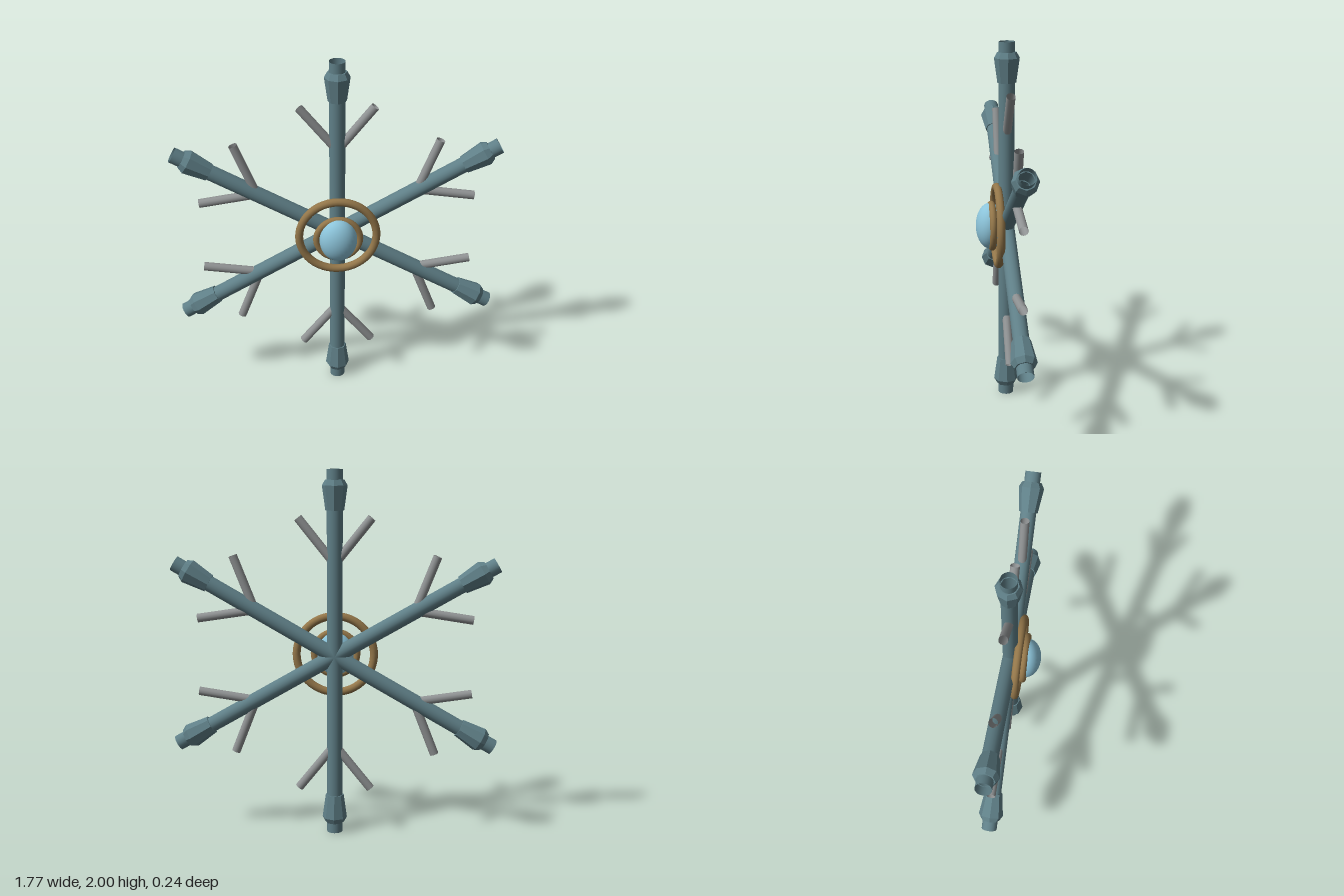
import * as THREE from 'three';

const mat = (name, color, side = THREE.FrontSide) => {
  const m = new THREE.MeshStandardMaterial({ color, side });
  m.name = name;
  return m;
};

export function createModel() {
  const teal = mat('teal', 0x5f7f87, THREE.DoubleSide);
  const grey = mat('grey', 0x909394, THREE.DoubleSide);
  const bronze = mat('bronze', 0x94774a);
  const ice = mat('iceBlue', 0x8cc4da);

  const model = new THREE.Group();
  model.name = 'snowflake';

  const add = (parent, name, geometry, material) => {
    const mesh = new THREE.Mesh(geometry, material);
    mesh.name = name;
    parent.add(mesh);
    return mesh;
  };

  // Open tubes that start at the origin and run along +y
  const tube = (radius, length, sides) =>
    new THREE.CylinderGeometry(radius, radius, length, sides, 1, true).translate(0, length / 2, 0);
  const armGeo = tube(0.0425, 1, 20);
  const twigGeo = tube(0.024, 0.315, 12);

  // Faceted knob, widest towards the tip
  const knobProfile = [[0.04, 0.785], [0.05, 0.785], [0.068, 0.915], [0.051, 0.945], [0.04, 0.945]]
    .map(([r, y]) => new THREE.Vector2(r, y));
  const knobGeo = new THREE.LatheGeometry(knobProfile, 8).toNonIndexed();
  knobGeo.computeVertexNormals();

  // Six arms, each with a knob and a pair of twigs
  for (let i = 0; i < 6; i++) {
    const arm = new THREE.Group();
    arm.name = 'arm' + (i + 1);
    arm.position.set(0, 1, -0.05);
    arm.rotation.z = i * Math.PI / 3;
    add(arm, 'armTube', armGeo, teal);
    add(arm, 'knob', knobGeo, teal);
    for (const side of [-1, 1]) {
      const twig = add(arm, side > 0 ? 'leftTwig' : 'rightTwig', twigGeo, grey);
      twig.position.y = 0.5;
      twig.rotation.z = -side * 0.675;
    }
    model.add(arm);
  }

  // Rings around the centre
  add(model, 'outerRing', new THREE.TorusGeometry(0.212, 0.022, 12, 48), bronze).position.set(0, 1, 0);
  add(model, 'innerRing', new THREE.TorusGeometry(0.118, 0.019, 12, 40), bronze).position.set(0, 1, 0.031);

  // Oval gem
  const gem = add(model, 'gem', new THREE.SphereGeometry(1, 32, 20), ice);
  gem.scale.set(0.103, 0.128, 0.078);
  gem.position.set(0, 1, 0.04);

  return model;
}
